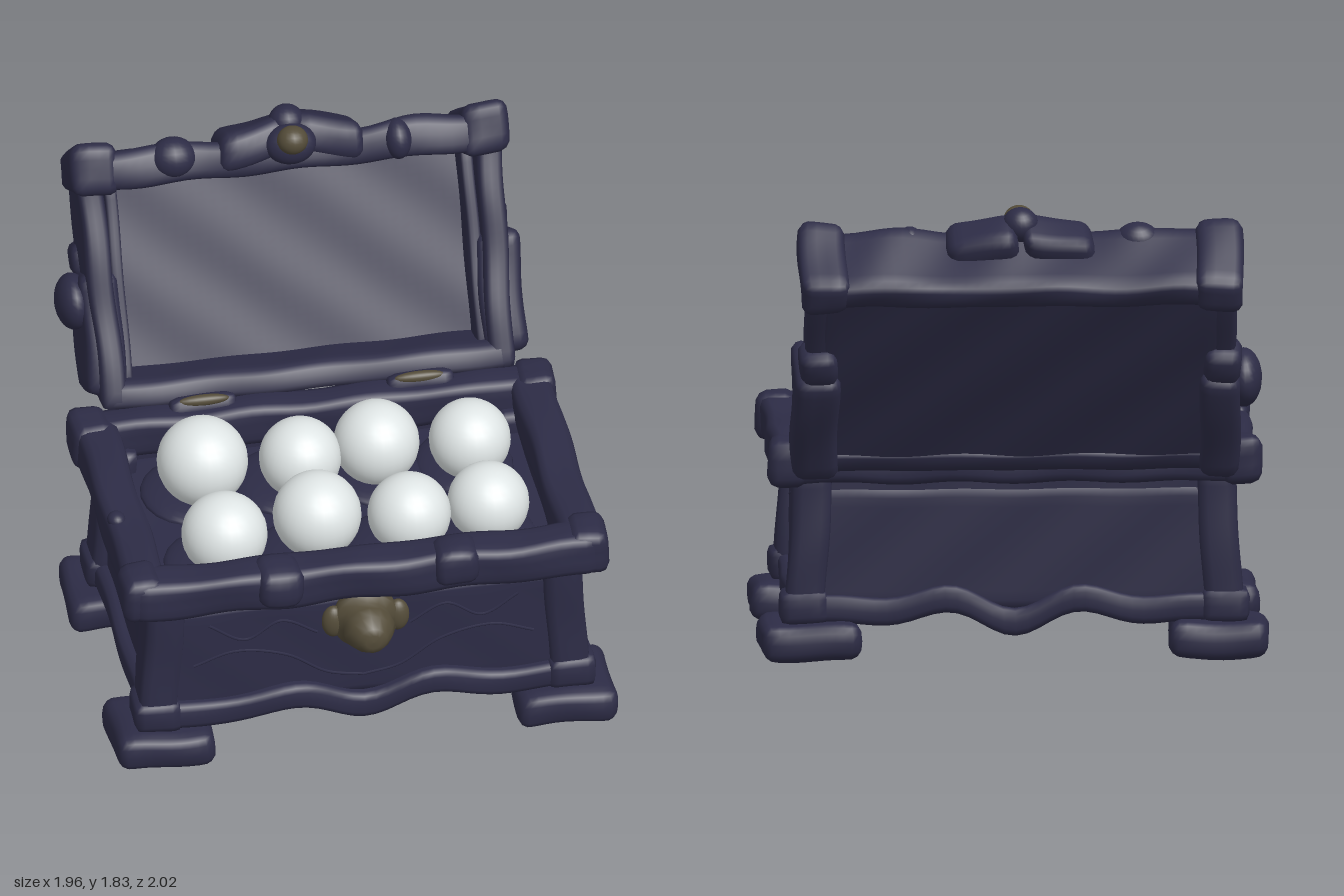
import * as THREE from 'three';
import { mergeVertices } from 'three/addons/utils/BufferGeometryUtils.js';

const navy = new THREE.MeshStandardMaterial({ color: 0x2d2c46 });
const brass = new THREE.MeshStandardMaterial({ color: 0x544c39 });
const pearl = new THREE.MeshStandardMaterial({ color: 0xdfe5e5 });

function add(parent, name, geometry, material) {
  const mesh = new THREE.Mesh(geometry, material);
  mesh.name = name;
  parent.add(mesh);
  return mesh;
}

// Hand-carved block between two corners: rounded edges and a gentle uneven surface
function block(parent, name, [x0, x1], [y0, y1], [z0, z1], r = 0.03, wobble = 0.004, shape = null) {
  const size = [x1 - x0, y1 - y0, z1 - z0];
  const mid = new THREE.Vector3((x0 + x1) / 2, (y0 + y1) / 2, (z0 + z1) / 2);
  const seg = size.map(s => Math.min(36, Math.max(4, Math.round(s / 0.035))));
  let g = new THREE.BoxGeometry(...size, ...seg);
  g.deleteAttribute('uv');
  g.deleteAttribute('normal');
  g = mergeVertices(g);
  const p = g.attributes.position;
  const v = new THREE.Vector3(), core = new THREE.Vector3();
  const half = new THREE.Vector3(...size).multiplyScalar(0.5).subScalar(r);
  const minus = half.clone().negate();
  for (let i = 0; i < p.count; i++) {
    v.fromBufferAttribute(p, i);
    core.copy(v).clamp(minus, half);
    v.sub(core).setLength(r).add(core).add(mid);
    const { x, y, z } = v;
    v.x += wobble * Math.sin(13 * y + 11 * z + 2 * x);
    v.y += wobble * Math.sin(15 * x + 9 * z + 1);
    v.z += wobble * Math.sin(12 * x + 14 * y + 2);
    if (shape) shape(v);
    p.setXYZ(i, v.x, v.y, v.z);
  }
  g.computeVertexNormals();
  return add(parent, name, g, navy);
}

// Rounded lump
function lump(parent, name, material, [x, y, z], [rx, ry, rz]) {
  const m = add(parent, name, new THREE.SphereGeometry(1, 20, 14), material);
  m.position.set(x, y, z);
  m.scale.set(rx, ry, rz);
  return m;
}

// Thin raised carving along a curve
function carving(parent, points, r = 0.006) {
  const curve = new THREE.CatmullRomCurve3(points.map(p => new THREE.Vector3(...p)));
  return add(parent, 'carvedLine', new THREE.TubeGeometry(curve, 32, r, 5), navy);
}

const mirror = (s, a, b) => (s > 0 ? [a, b] : [-b, -a]);

function buildBox(root) {
  const box = new THREE.Group();
  box.name = 'chestBox';
  root.add(box);
  block(box, 'boxBody', [-0.82, 0.82], [0.19, 0.66], [-0.28, 0.79], 0.015, 0.002);

  // Wavy skirts along the front and back, dipping in the middle
  const dip = v => { v.y -= 0.05 * Math.cos(v.x * 11) * Math.exp(-v.x * v.x * 5); };
  block(box, 'frontSkirt', [-0.8, 0.8], [0.145, 0.25], [0.72, 0.835], 0.025, 0.004, dip);
  block(box, 'backSkirt', [-0.8, 0.8], [0.145, 0.25], [-0.32, -0.21], 0.025, 0.004, dip);

  for (const s of [1, -1]) {
    const flare = v => { v.x += s * (0.45 - v.y) * 0.06; };
    block(box, 'sideSkirt', mirror(s, 0.75, 0.865), [0.15, 0.25], [-0.25, 0.77], 0.025);
    block(box, 'sideWall', mirror(s, 0.775, 0.818), [0.6, 0.76], [-0.26, 0.77], 0.01, 0.002);
    block(box, 'sideRim', mirror(s, 0.765, 0.925), [0.685, 0.85], [-0.3, 0.85], 0.03, 0.005);
    // Corners: post, base block, foot and rim cap
    for (const front of [true, false]) {
      const z = (a, b) => (front ? [0.27 + a, 0.27 + b] : [0.25 - b, 0.25 - a]);
      block(box, 'cornerPost', mirror(s, 0.71, 0.86), [0.2, 0.74], z(0.39, 0.565), 0.025, 0.003, flare);
      block(box, 'cornerBase', mirror(s, 0.71, 0.895), [0.14, 0.27], z(0.39, 0.58), 0.03);
      block(box, 'foot', mirror(s, 0.59, 0.975), [0.004, 0.15], z(0.275, 0.645), 0.055, 0.006);
      block(box, 'rimCorner', mirror(s, 0.79, 0.94), [0.68, 0.862], z(0.42, 0.612), 0.04, 0.006);
    }
    // Clasps gripping the front rim
    block(box, 'rimClasp', [s * 0.34 - 0.09, s * 0.34 + 0.09], [0.71, 0.87], [0.74, 0.925], 0.055, 0.008);
    // Carved side panel lines
    carving(box, [[s * 0.82, 0.5, 0.6], [s * 0.82, 0.53, 0.4], [s * 0.82, 0.47, 0.2], [s * 0.82, 0.53, -0.05]]);
  }
  lump(box, 'rimStud', navy, [-0.885, 0.84, 0.39], [0.035, 0.03, 0.04]);
  block(box, 'frontWall', [-0.81, 0.81], [0.6, 0.76], [0.74, 0.785], 0.01, 0.002);
  block(box, 'backWall', [-0.81, 0.81], [0.6, 0.76], [-0.275, -0.23], 0.01, 0.002);
  block(box, 'frontRim', [-0.9, 0.9], [0.685, 0.85], [0.72, 0.89], 0.035, 0.006);
  block(box, 'backRim', [-0.9, 0.9], [0.685, 0.85], [-0.335, -0.195], 0.03, 0.005);

  // Carved waves on the front panel
  for (const s of [1, -1]) {
    carving(box, [[s * 0.66, 0.4, 0.79], [s * 0.5, 0.45, 0.79], [s * 0.3, 0.41, 0.79], [s * 0.14, 0.31, 0.79], [0, 0.28, 0.79]]);
    carving(box, [[s * 0.6, 0.58, 0.79], [s * 0.46, 0.5, 0.79], [s * 0.32, 0.57, 0.79], [s * 0.18, 0.5, 0.79]]);
  }

  // Padded hollows inside
  for (let i = 0; i < 4; i++)
    for (const z of [0.02, 0.5])
      lump(box, 'padding', navy, [-0.53 + i * 0.355, 0.66, z], [0.19, 0.045, 0.22]);
}

function buildLock(root) {
  const lock = new THREE.Group();
  lock.name = 'lock';
  lock.position.set(0, 0.57, 0.79);
  root.add(lock);
  const profile = [[0, 0], [0.12, 0], [0.132, 0.04], [0.125, 0.065], [0.095, 0.08], [0.1, 0.12], [0.085, 0.155], [0.055, 0.2], [0.03, 0.21], [0, 0.212]];
  const dome = add(lock, 'lockDome', new THREE.LatheGeometry(profile.map(p => new THREE.Vector2(...p)), 14), brass);
  dome.rotation.x = Math.PI / 2;
  for (const s of [1, -1]) lump(lock, 'lockEar', brass, [s * 0.125, 0, 0.04], [0.045, 0.068, 0.035]);
}

// Lid built upright with its inside facing +z, then tilted back at the hinge
function buildLid(root) {
  const lid = new THREE.Group();
  lid.name = 'lid';
  lid.position.set(0, 0.83, -0.29);
  lid.rotation.x = -0.49;
  root.add(lid);
  // Slanted lower edge and sloping crown, fading out along the lid
  const slantLow = v => { v.y -= v.z * 0.25 * Math.max(0, 1 - v.y / 0.4); };
  const slantHigh = v => { v.y += v.z * 1.1 * Math.max(0, v.y - 0.87); };

  block(lid, 'lidPanel', [-0.78, 0.78], [0.08, 0.95], [-0.275, -0.19], 0.02, 0.003);
  block(lid, 'lidLowerRail', [-0.79, 0.79], [0.015, 0.125], [-0.28, 0], 0.025, 0.003, slantLow);
  block(lid, 'lidUpperRail', [-0.8, 0.8], [0.87, 1.02], [-0.29, 0.035], 0.035, 0.006, v => {
    v.y += 0.09 * Math.max(0, v.y - 0.9) * Math.cos(v.x * 12);
    slantHigh(v);
  });
  for (const s of [1, -1]) {
    block(lid, 'lidSide', mirror(s, 0.7, 0.8), [0.015, 0.93], [-0.275, 0], 0.025, 0.004, v => {
      v.x += s * 0.03 * v.y;
      slantLow(v);
    });
    block(lid, 'lidInnerFrame', mirror(s, 0.665, 0.72), [0.1, 0.89], [-0.21, -0.06], 0.015, 0.002);
    block(lid, 'lidStrap', mirror(s, 0.69, s > 0 ? 0.865 : 0.845), [0.075, 0.55], [-0.335, -0.03], 0.045, 0.005);
    block(lid, 'lidStrapTip', mirror(s, 0.7, 0.845), [0.52, 0.66], [-0.33, -0.17], 0.045, 0.006);
    block(lid, 'lidCorner', mirror(s, 0.665, 0.848), [0.85, 1.055], [-0.305, 0.045], 0.045, 0.006, slantHigh);
    // Scrolls flanking the crest
    block(lid, 'crestScroll', mirror(s, 0.01, 0.28), [0.94, 1.095], [-0.14, 0.06], 0.05, 0.008,
      v => { v.y -= Math.abs(v.x) * 0.18; });
    // Hinges
    block(lid, 'hinge', [s * 0.42 - 0.13, s * 0.42 + 0.13], [-0.03, 0.05], [-0.06, 0.045], 0.03, 0.004);
    lump(lid, 'hingePlate', brass, [s * 0.42, 0.032, 0.035], [0.1, 0.022, 0.022]);
  }
  lump(lid, 'upperRailKnot', navy, [-0.45, 0.97, 0], [0.09, 0.08, 0.075]);
  lump(lid, 'upperRailKnot', navy, [0.42, 0.95, 0.01], [0.055, 0.08, 0.07]);
  lump(lid, 'lidSideKnob', navy, [-0.86, 0.44, -0.16], [0.07, 0.11, 0.12]);
  // Central crest with a brass stud
  lump(lid, 'crest', navy, [0, 1.06, -0.005], [0.07, 0.068, 0.07]);
  lump(lid, 'crestBase', navy, [0, 0.98, 0.05], [0.1, 0.08, 0.07]);
  lump(lid, 'crestStud', brass, [0, 1.0, 0.105], [0.06, 0.056, 0.06]);
}

function buildOrbs(root) {
  // x, z, radius, top height
  const orbs = [
    [-0.49, 0.07, 0.175, 1.015], [-0.11, 0.07, 0.158, 0.965], [0.19, 0.05, 0.165, 0.99], [0.55, 0.065, 0.157, 0.96],
    [-0.48, 0.47, 0.165, 0.94], [-0.12, 0.47, 0.17, 0.99], [0.24, 0.46, 0.16, 0.93], [0.55, 0.445, 0.157, 0.93],
  ];
  for (const [x, z, r, top] of orbs) {
    const orb = add(root, 'orb', new THREE.SphereGeometry(r, 28, 20), pearl);
    orb.position.set(x, top - r, z);
  }
}

export function createModel() {
  const root = new THREE.Group();
  root.name = 'treasureChest';
  buildBox(root);
  buildLock(root);
  buildLid(root);
  buildOrbs(root);
  return root;
}
